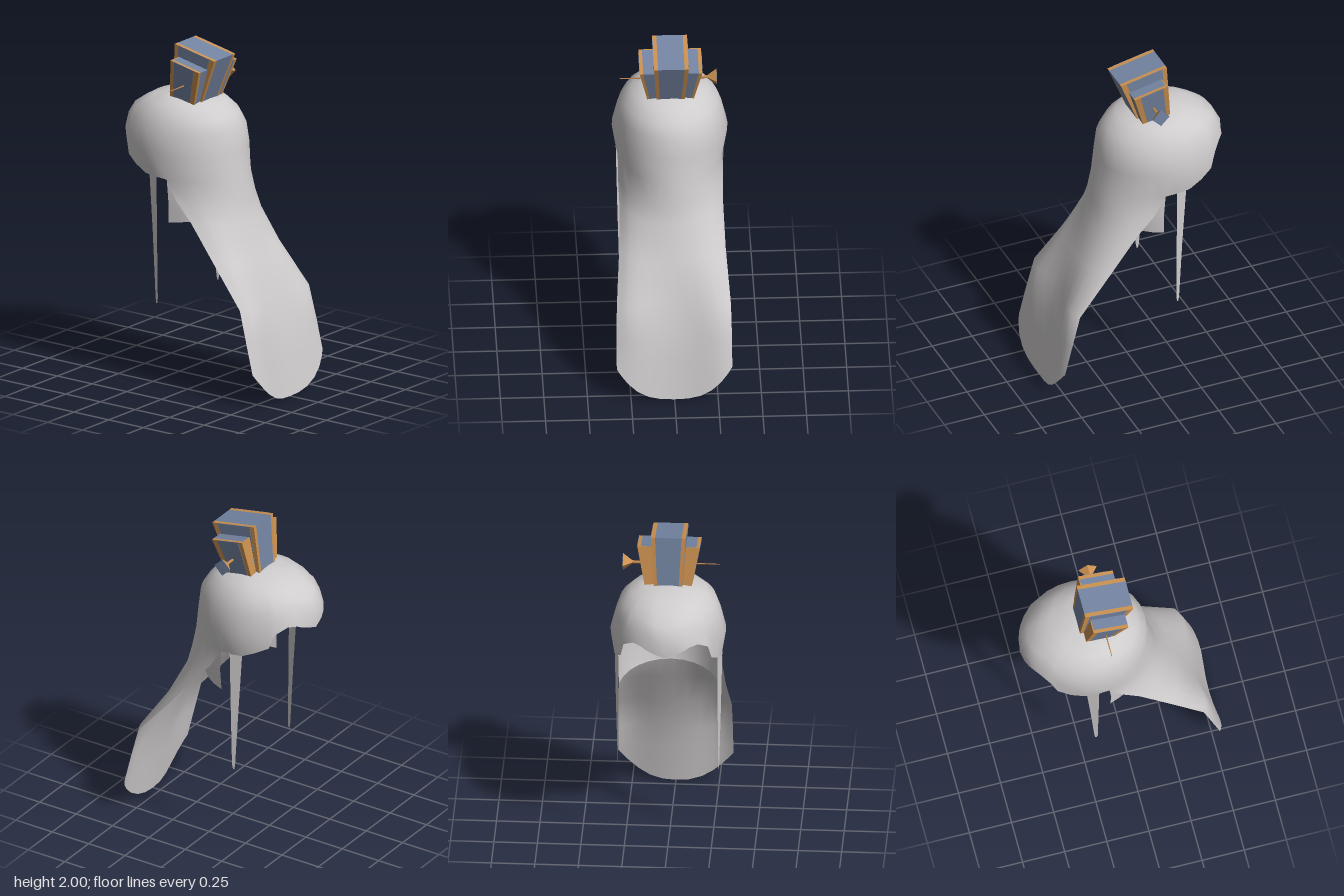
import * as THREE from 'three';
import { mergeGeometries, mergeVertices } from 'three/addons/utils/BufferGeometryUtils.js';

const mat = (name, color, side = THREE.FrontSide) => {
  const m = new THREE.MeshStandardMaterial({ color, side });
  m.name = name;
  return m;
};
const lerp = THREE.MathUtils.lerp;
const rad = THREE.MathUtils.degToRad;

// Piecewise linear lookup: rows of [key, ...values], keys ascending
function lookup(table, key) {
  let i = 0;
  while (i < table.length - 2 && key > table[i + 1][0]) i++;
  const a = table[i], b = table[i + 1];
  const t = THREE.MathUtils.clamp((key - a[0]) / (b[0] - a[0]), 0, 1);
  return a.slice(1).map((v, k) => lerp(v, b[k + 1], t));
}

// Sheet of quads through point(row, column)
function sheet(rows, cols, point) {
  const pos = [], idx = [];
  for (let i = 0; i < rows; i++)
    for (let j = 0; j < cols; j++) {
      pos.push(...point(i, j));
      if (i && j) {
        const d = i * cols + j, c = d - 1, b = d - cols, a = b - 1;
        idx.push(a, b, c, b, d, c);
      }
    }
  const g = new THREE.BufferGeometry();
  g.setAttribute('position', new THREE.Float32BufferAttribute(pos, 3));
  g.setIndex(idx);
  return g;
}

// Skull cap outline by height: y, half width, +z reach, -z reach
const CAP = [
  [1.25, 0.308, 0.205, -0.56], [1.4, 0.334, 0.18, -0.57], [1.52, 0.305, 0.17, -0.567],
  [1.6, 0.278, 0.12, -0.52], [1.66, 0.22, 0.05, -0.43], [1.69, 0.165, -0.05, -0.37], [1.71, 0, -0.2, -0.2],
];
// Hairline height by angle from the -z side
const HAIRLINE = [[0, 1.41], [20, 1.45], [26, 1.465], [36, 1.47], [48, 1.43], [54, 1.34], [80, 1.265], [102, 1.25], [180, 1.25]];

function capPoint(deg, y) {
  const [w, zp, zn] = lookup(CAP, y);
  const c = Math.cos(rad(deg));
  return [w * Math.sin(rad(deg)), y, -0.2 - c * (c < 0 ? zp + 0.2 : -0.2 - zn)];
}

const half = [0, 12, 20, 26, 36, 48, 54, 67, 80, 91, 102];
const backCols = [];
for (let d = 102; d <= 258; d += 13) backCols.push(d);
const capCols = [...half, ...backCols.slice(1, -1), ...half.map((d) => 360 - d).reverse()];
const capRows = [0, 0.018, 0.05, 0.11, 0.19, 0.31, 0.46];

function capGeometry() {
  return sheet(capRows.length, capCols.length, (i, j) => {
    const deg = capCols[j];
    const [edge] = lookup(HAIRLINE, deg > 180 ? 360 - deg : deg);
    return capPoint(deg, 1.71 - (1.71 - edge) * capRows[i] / 0.46);
  });
}

// Long hair rows: centre y, centre z, edge x, edge y, edge z, wave
const LONG = [
  [1.12, 0.225, 0.302, 1.13, -0.04, 0], [1.0, 0.25, 0.298, 1.02, 0.06, 0],
  [0.8, 0.335, 0.306, 0.82, 0.22, 0.01], [0.58, 0.425, 0.328, 0.57, 0.435, 0.035],
  [0.38, 0.48, 0.332, 0.38, 0.485, 0.025], [0.24, 0.51, 0.332, 0.26, 0.515, 0.02], [0, 0.55, 0.332, 0.2, 0.53, 0.018],
];
function longPoint(row, deg) {
  const [cy, cz, ex, ey, ez, wave] = row;
  const a = rad(deg - 180);
  const s = -Math.sin(a) / Math.sin(rad(78));
  const k = (1 - Math.cos(a)) / (1 - Math.cos(rad(78)));
  const bend = cy === 0 ? Math.abs(s) ** 2.6 : k;
  return [ex * s, lerp(cy, ey, bend), lerp(cz, ez, k) + wave * Math.sin(Math.PI * s * s)];
}
function longGeometry() {
  return sheet(LONG.length + 1, backCols.length, (i, j) =>
    i === 0 ? capPoint(backCols[j], 1.25) : longPoint(LONG[i - 1], backCols[j]));
}

// Short layer under the long hair, at the nape
function napeGeometry() {
  const rows = [[1.25, 0.17, 0.298, 1.25, -0.115, 0], [1.12, 0.16, 0.296, 1.12, -0.105, 0], [1.02, 0.14, 0.288, 0.99, -0.11, 0]];
  return sheet(3, backCols.length, (i, j) => longPoint(rows[i], backCols[j]));
}

// Box mapped into a flared block; bottom and top are [x0, x1, zBack, yBack, zFront, yFront]
function blockGeometry(bottom, top, side, u, w) {
  const g = new THREE.BoxGeometry(1, 1, 1);
  const p = g.attributes.position;
  for (let i = 0; i < p.count; i++) {
    const f = p.getX(i) + 0.5, v = p.getY(i) + 0.5;
    const a = lerp(u[0], u[1], side > 0 ? f : 1 - f);
    const b = lerp(w[0], w[1], p.getZ(i) + 0.5);
    const q = bottom.map((n, k) => lerp(n, top[k], v));
    p.setXYZ(i, side * lerp(q[0], q[1], a), lerp(q[3], q[5], b), lerp(q[2], q[4], b));
  }
  g.computeVertexNormals();
  return g;
}

export function createModel() {
  const root = new THREE.Group();
  root.name = 'hairWithTopCrown';
  const hair = mat('silverHair', 0xcfcccd, THREE.DoubleSide);
  const blue = mat('slateBlue', 0x7485a3);
  const gold = mat('bronzeGold', 0xcb9150);
  const add = (name, geometry, material, parent = root) => {
    const m = new THREE.Mesh(geometry, material);
    m.name = name;
    parent.add(m);
    return m;
  };

  // Hair
  const main = mergeVertices(mergeGeometries([capGeometry(), longGeometry()]), 1e-4);
  main.computeVertexNormals();
  add('capAndLongHair', main, hair);
  const nape = napeGeometry();
  nape.computeVertexNormals();
  add('napeHair', nape, hair);

  // Thin strands hanging beside the face
  for (const s of [1, -1]) {
    const rows = [[1.27, 0.31, -0.18, 0.285, -0.25], [0.9, 0.302, -0.182, 0.285, -0.225], [0.52, 0.292, -0.184, 0.288, -0.203], [0.49, 0.29, -0.19, 0.289, -0.198]];
    const g = sheet(rows.length, 2, (i, j) => {
      const r = rows[i];
      return [s * r[1 + 2 * j], r[0], r[2 + 2 * j]];
    });
    g.computeVertexNormals();
    add(s > 0 ? 'leftStrand' : 'rightStrand', g, hair);
  }

  // Crown: tall middle block with gold edges
  const crown = new THREE.Group();
  crown.name = 'crown';
  root.add(crown);
  const midB = [-0.08, 0.08, -0.238, 1.665, -0.04, 1.65], midT = [-0.1, 0.1, -0.208, 2.0, 0.077, 1.945];
  add('crownCentre', blockGeometry(midB, midT, 1, [0.12, 0.88], [0, 1]), blue, crown);
  for (const s of [1, -1]) {
    add('crownCentreEdge', blockGeometry(midB, midT, s, [0.88, 1], [0, 1]), gold, crown);
    add('crownCentrePanel', blockGeometry(midB, midT, s, [0.99, 1.01], [0.1, 0.88]), blue, crown);

    // Lower side blocks
    const b = [0.06, 0.13, -0.215, 1.66, -0.05, 1.65], t = [0.08, 0.18, -0.175, 1.925, 0.027, 1.885];
    add('crownSide', blockGeometry(b, t, s, [0, 0.8], [0, 1]), blue, crown);
    add('crownSideEdge', blockGeometry(b, t, s, [0.8, 1], [0, 1]), gold, crown);
    add('crownSidePanel', blockGeometry(b, t, s, [0.99, 1.02], [0.12, 0.82]), blue, crown);
    add('crownSideBackTrim', blockGeometry(b, t, s, [0.2, 1], [-0.02, 0.01]), gold, crown);
  }

  // Hairpin through the crown, with a flared tail
  const pin = new THREE.Group();
  pin.name = 'hairpin';
  pin.position.set(0, 1.78, -0.1);
  root.add(pin);
  const shaft = add('pinShaft', new THREE.CylinderGeometry(0.002, 0.009, 0.51, 6), gold, pin);
  shaft.rotation.z = Math.PI / 2;
  shaft.position.x = -0.035;
  const flare = new THREE.ConeGeometry(0.055, 0.065, 4, 1, true).toNonIndexed();
  flare.computeVertexNormals();
  const tail = add('pinTail', flare, gold, pin);
  tail.rotation.z = Math.PI / 2;
  tail.position.x = 0.233;
  const cap = add('pinTailEnd', new THREE.CylinderGeometry(0.053, 0.053, 0.004, 4), blue, pin);
  cap.rotation.z = Math.PI / 2;
  cap.position.x = 0.265;

  return root;
}
